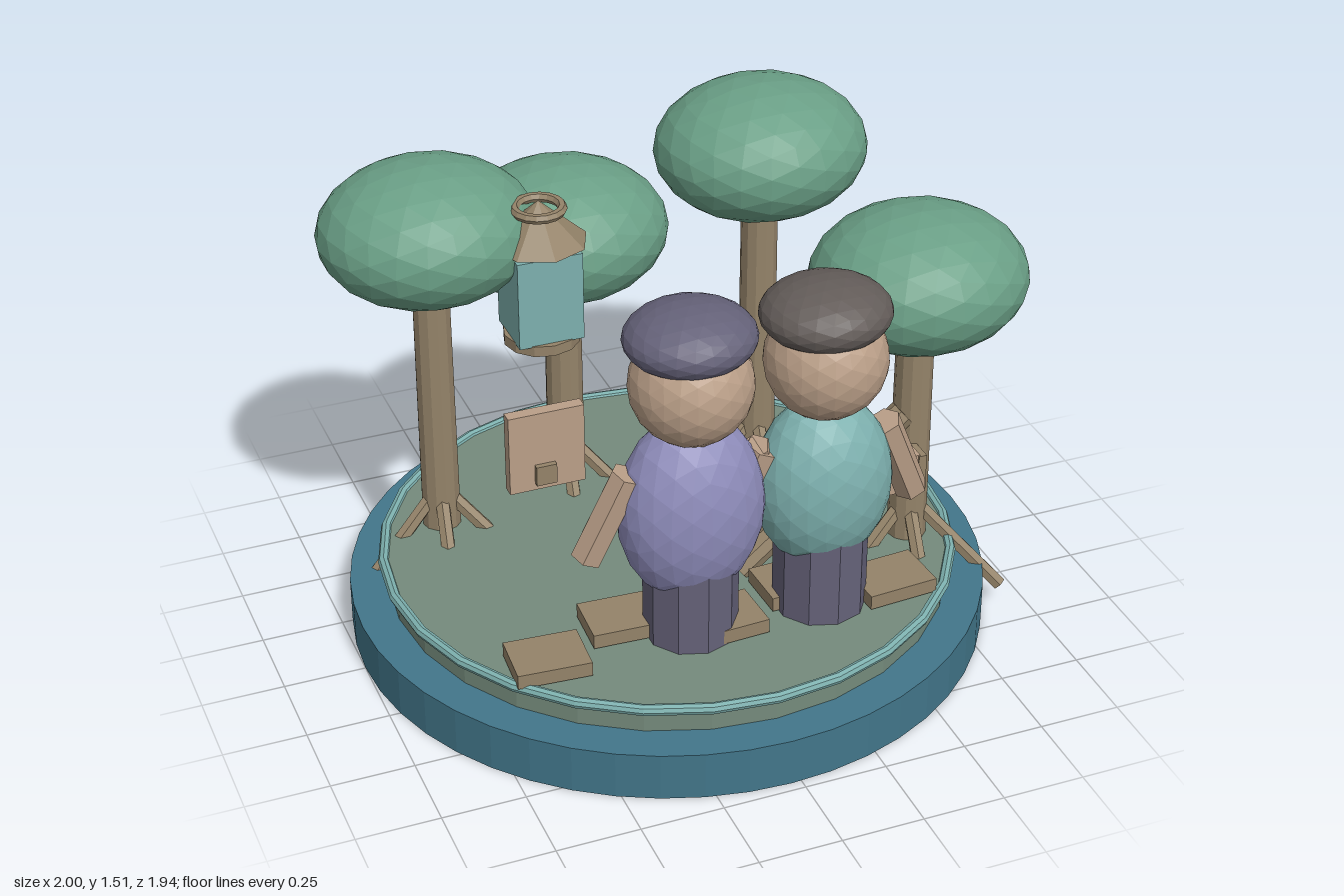
import * as THREE from 'three';

const palette = {
  base: 0x42768a, ground: 0x758b7c, foliage: 0x6a9f86, wood: 0x948369, skin: 0xba9f88,
  purple: 0x8e8cba, teal: 0x7db0ae, slate: 0x656279, charcoal: 0x635c59, eye: 0x46566e,
};
const mats = {};
for (const [name, color] of Object.entries(palette)) {
  mats[name] = new THREE.MeshStandardMaterial({ color });
  mats[name].name = name;
}

// Adds a flat-faceted mesh to a parent
function add(parent, name, geometry, mat, x = 0, y = 0, z = 0) {
  const flat = geometry.index ? geometry.toNonIndexed() : geometry;
  flat.computeVertexNormals();
  const mesh = new THREE.Mesh(flat, mats[mat]);
  mesh.name = name;
  mesh.position.set(x, y, z);
  parent.add(mesh);
  return mesh;
}

function ellipsoid(rx, ry, rz, detail = 3) {
  return new THREE.IcosahedronGeometry(1, detail).scale(rx, ry, rz);
}

// Straight bar between two points
function bar(parent, name, from, to, radius, sides, mat) {
  const a = new THREE.Vector3(...from), b = new THREE.Vector3(...to);
  const dir = b.clone().sub(a);
  const mesh = add(parent, name, new THREE.CylinderGeometry(radius, radius, dir.length(), sides), mat);
  mesh.position.copy(a).add(b).multiplyScalar(0.5);
  mesh.quaternion.setFromUnitVectors(new THREE.Vector3(0, 1, 0), dir.normalize());
  return mesh;
}

function group(parent, name, x, z) {
  const g = new THREE.Group();
  g.name = name;
  g.position.set(x, 0, z);
  parent.add(g);
  return g;
}

const FLOOR = 0.235;

function buildTree(parent, x, z, canopyY) {
  const tree = group(parent, 'tree', x, z);
  const h = canopyY - FLOOR;
  add(tree, 'trunk', new THREE.CylinderGeometry(0.056, 0.06, h, 12), 'wood', 0, FLOOR + h / 2, 0);
  add(tree, 'canopy', ellipsoid(0.33, 0.21, 0.304), 'foliage', 0, canopyY, 0);
  // Roots slope down through the ground
  for (const deg of [33, 100, 167]) {
    const c = Math.cos(deg * Math.PI / 180), s = Math.sin(deg * Math.PI / 180);
    bar(tree, 'root', [c * 0.02, 0.345, s * 0.02], [c * 0.295, 0.075, s * 0.295], 0.023, 6, 'wood');
  }
}

function buildFigure(parent, name, x, z, bodyMat, hatMat, rx, ry) {
  const fig = group(parent, name, x, z);
  add(fig, 'legs', new THREE.CylinderGeometry(0.14, 0.14, 0.32, 10), 'slate', 0, FLOOR + 0.16, 0.01);
  add(fig, 'body', ellipsoid(rx, ry, 0.168), bodyMat, 0, 0.66, 0.01);
  add(fig, 'head', ellipsoid(0.18, 0.18, 0.18), 'skin', 0, 1.065, 0.01);
  add(fig, 'hat', ellipsoid(0.193, 0.097, 0.18), hatMat, 0, 1.21, 0);
  for (const s of [-1, 1]) {
    bar(fig, 'arm', [s * 0.19, 0.81, 0.01], [s * 0.305, 0.535, -0.025], 0.05, 6, 'skin');
    // Eyes are on the back-facing side
    add(fig, 'eye', ellipsoid(0.021, 0.021, 0.021, 1), 'eye', s * 0.068, 1.085, -0.152);
  }
}

function buildLantern(parent, x, z) {
  const lantern = group(parent, 'lantern', x, z);
  add(lantern, 'lanternFloor', new THREE.CylinderGeometry(0.115, 0.115, 0.033, 12), 'wood', 0, 0.937, 0);
  add(lantern, 'lanternBody', new THREE.BoxGeometry(0.2, 0.28, 0.19), 'teal', 0, 1.09, 0);
  add(lantern, 'lanternRoof', new THREE.ConeGeometry(0.145, 0.13, 8), 'wood', 0, 1.31, 0);
  add(lantern, 'lanternRing', new THREE.TorusGeometry(0.07, 0.015, 6, 16).rotateX(Math.PI / 2), 'wood', 0, 1.35, 0);
}

export function createModel() {
  const model = new THREE.Group();
  model.name = 'groveScene';

  // Stepped round stand
  const stand = group(model, 'stand', -0.03, 0);
  add(stand, 'base', new THREE.CylinderGeometry(0.97, 0.97, 0.15, 48), 'base', 0, 0.075, 0);
  add(stand, 'ground', new THREE.CylinderGeometry(0.857, 0.857, 0.085, 28), 'ground', 0, 0.1925, 0);
  add(stand, 'rim', new THREE.TorusGeometry(0.865, 0.017, 8, 28).rotateX(Math.PI / 2), 'teal', 0, 0.23, 0);

  // Trees: x, z, canopy height
  for (const t of [[-0.642, -0.338, 1.247], [-0.187, -0.47, 1.1], [0.43, -0.388, 1.302], [0.667, 0.237, 1.125]])
    buildTree(model, ...t);

  buildFigure(model, 'purpleFigure', -0.138, 0.455, 'purple', 'slate', 0.22, 0.3);
  buildFigure(model, 'tealFigure', 0.268, 0.463, 'teal', 'charcoal', 0.21, 0.275);
  buildLantern(model, -0.36, -0.163);

  // Stepping planks: x, z, turn
  for (const [x, z, turn] of [[-0.59, 0.495, -0.07], [-0.325, 0.39, -0.05], [-0.05, 0.5, 0.05], [0.22, 0.4, 0.04], [0.49, 0.495, 0.07]])
    add(model, 'plank', new THREE.BoxGeometry(0.22, 0.045, 0.17), 'wood', x, 0.262, z).rotation.y = turn;

  // Leaning log, hanging board and satchel
  bar(model, 'leaningLog', [0.1, 0.25, 0.26], [0.625, 0.68, 0.26], 0.042, 8, 'wood');
  add(model, 'board', new THREE.BoxGeometry(0.24, 0.265, 0.04), 'skin', -0.37, 0.56, -0.132);
  add(model, 'boardPeg', new THREE.BoxGeometry(0.065, 0.065, 0.02), 'wood', -0.378, 0.483, -0.104);
  add(model, 'satchel', new THREE.BoxGeometry(0.19, 0.12, 0.17), 'skin', 0.545, 0.525, 0.275);
  add(model, 'satchelEnd', new THREE.BoxGeometry(0.025, 0.115, 0.19), 'wood', 0.647, 0.525, 0.27);

  return model;
}
